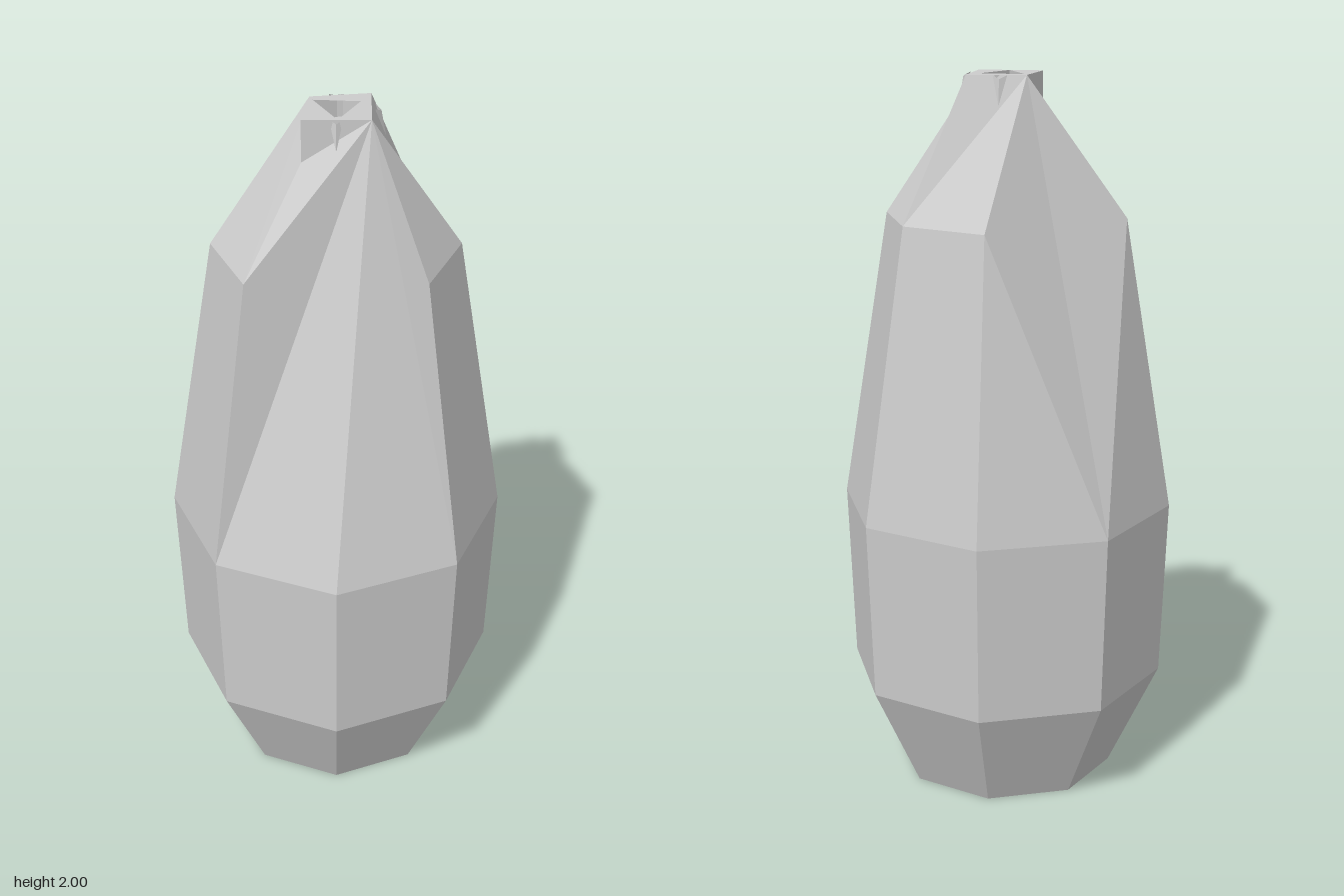
import * as THREE from 'three';

const mat = new THREE.MeshStandardMaterial({ color: 0xcccccc, flatShading: true, side: THREE.DoubleSide });

function triMesh(name, tris) {
  const geo = new THREE.BufferGeometry();
  geo.setAttribute('position', new THREE.Float32BufferAttribute(tris.flatMap(v => v.toArray()), 3));
  geo.computeVertexNormals();
  const mesh = new THREE.Mesh(geo, mat);
  mesh.name = name;
  return mesh;
}

const V = (x, y, z) => new THREE.Vector3(x, y, z);
const SIDES = 8;

// Eight-sided ring, starting at the front and turning towards +x
const ring = (r, y) => Array.from({ length: SIDES }, (_, k) => {
  const a = k * Math.PI * 2 / SIDES;
  return V(r * Math.sin(a), y, r * Math.cos(a));
});

// Mouth corners
const left = V(0.127, 2, 0), right = V(-0.097, 2, 0);
const front = V(0, 1.885, 0.126), back = V(0, 2, -0.13);

function makeBody() {
  const shoulder = ring(0.335, 1.615);
  // Two shoulder corners are pinched up into the mouth, leaving folds
  shoulder[1] = left;
  shoulder[6] = right;
  const mouth = [front, left, left, left, back, right, right, right];
  const rings = [ring(0.307, 0), ring(0.45, 0.3), ring(0.469, 0.8), shoulder, mouth];
  const tris = [];
  const add = (a, b, c) => {
    if (!a.equals(b) && !b.equals(c) && !a.equals(c)) tris.push(a, b, c);
  };
  for (let i = 0; i < rings.length - 1; i++) {
    for (let k = 0; k < SIDES; k++) {
      const n = (k + 1) % SIDES;
      const a = rings[i][k], b = rings[i][n], c = rings[i + 1][n], d = rings[i + 1][k];
      // Diagonals alternate so that the folds run to the pinched corners
      if (k % 2) { add(a, b, d); add(b, c, d); }
      else { add(a, b, c); add(a, c, d); }
    }
  }
  // Base
  for (let k = 0; k < SIDES; k++) add(V(0, 0, 0), rings[0][(k + 1) % SIDES], rings[0][k]);
  return triMesh('body', tris);
}

// Tied top: a flat collar with a small sunken opening
function makeCollar() {
  const outline = pts => pts.map(([x, z]) => new THREE.Vector2(x, -z));
  const hole = outline([[-0.05, -0.07], [0.02, -0.07], [0.065, 0.06], [-0.075, 0.01]]);
  const shape = new THREE.Shape(outline([left, front, right, back].map(p => [p.x, p.z])));
  shape.holes.push(new THREE.Path(hole));
  const group = new THREE.Group();
  group.name = 'collar';
  const rim = new THREE.Mesh(
    new THREE.ExtrudeGeometry(shape, { depth: 0.115, bevelEnabled: false }).rotateX(-Math.PI / 2), mat);
  rim.name = 'collarRim';
  rim.position.y = 1.885;
  const floor = new THREE.Mesh(new THREE.ShapeGeometry(new THREE.Shape(hole)).rotateX(-Math.PI / 2), mat);
  floor.name = 'collarFloor';
  floor.position.y = 1.94;
  group.add(rim, floor);
  return group;
}

// Small creased tips hanging from the collar
function makeTips() {
  const group = new THREE.Group();
  group.name = 'creasedTips';
  for (const [x, z] of [[0.09, -0.092], [0.075, 0.075], [-0.078, -0.08]]) {
    const tip = V(x, 1.92, z), top = V(x * 0.9, 1.99, z * 0.9);
    const a = V(x * 0.95, 2, z * 0.6), b = V(x * 0.6, 2, z * 0.95);
    group.add(triMesh('tip', [a, top, tip, top, b, tip]));
  }
  return group;
}

export function createModel() {
  const model = new THREE.Group();
  model.name = 'tiedSack';
  model.add(makeBody(), makeCollar(), makeTips());
  return model;
}
